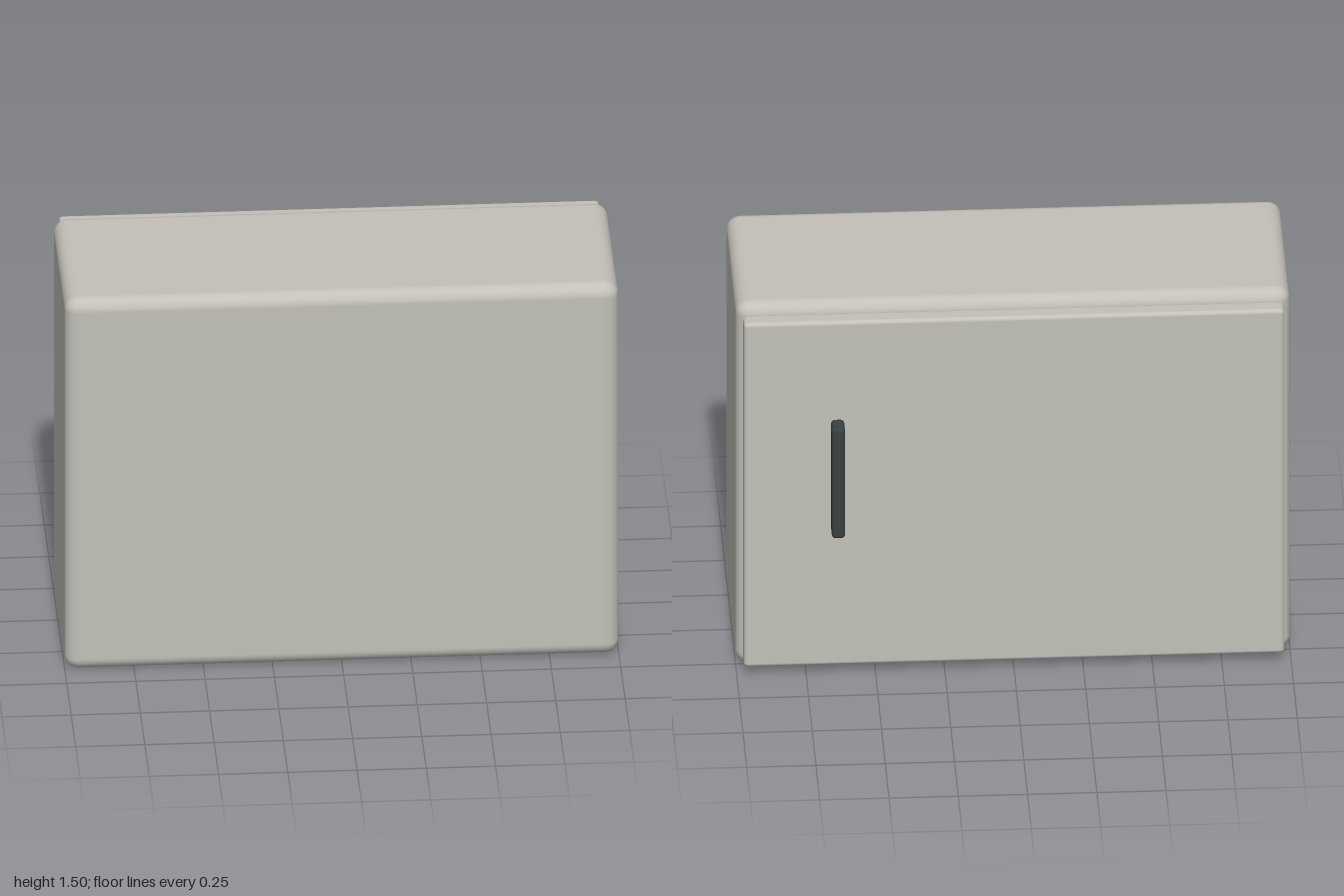
import * as THREE from 'three';
import { RoundedBoxGeometry } from 'three/addons/geometries/RoundedBoxGeometry.js';

export function createModel() {
  const group = new THREE.Group();
  group.name = 'wallCabinet';

  const paint = new THREE.MeshStandardMaterial({ color: 0xc2c0b8 });
  paint.name = 'warm grey paint';
  const dark = new THREE.MeshStandardMaterial({ color: 0x3a4040 });
  dark.name = 'dark handle grey';

  // Rounded block given by its lower and upper corners
  function block(name, min, max, radius, segments, material) {
    const size = max.map((v, i) => v - min[i]);
    const mesh = new THREE.Mesh(new RoundedBoxGeometry(...size, segments, radius), material);
    mesh.position.set(...max.map((v, i) => (v + min[i]) / 2));
    mesh.name = name;
    group.add(mesh);
  }

  // Cabinet housing
  block('housing', [-1, 0, -0.275], [1, 1.5, 0.415], 0.05, 3, paint);
  // Door panel on the back
  block('door', [-0.975, 0.037, -0.345], [0.975, 1.463, -0.275], 0.015, 3, paint);
  // Upright door handle, sunk slightly into the door
  block('handle', [0.613, 0.6, -0.415], [0.661, 1.058, -0.335], 0.014, 3, dark);

  return group;
}
